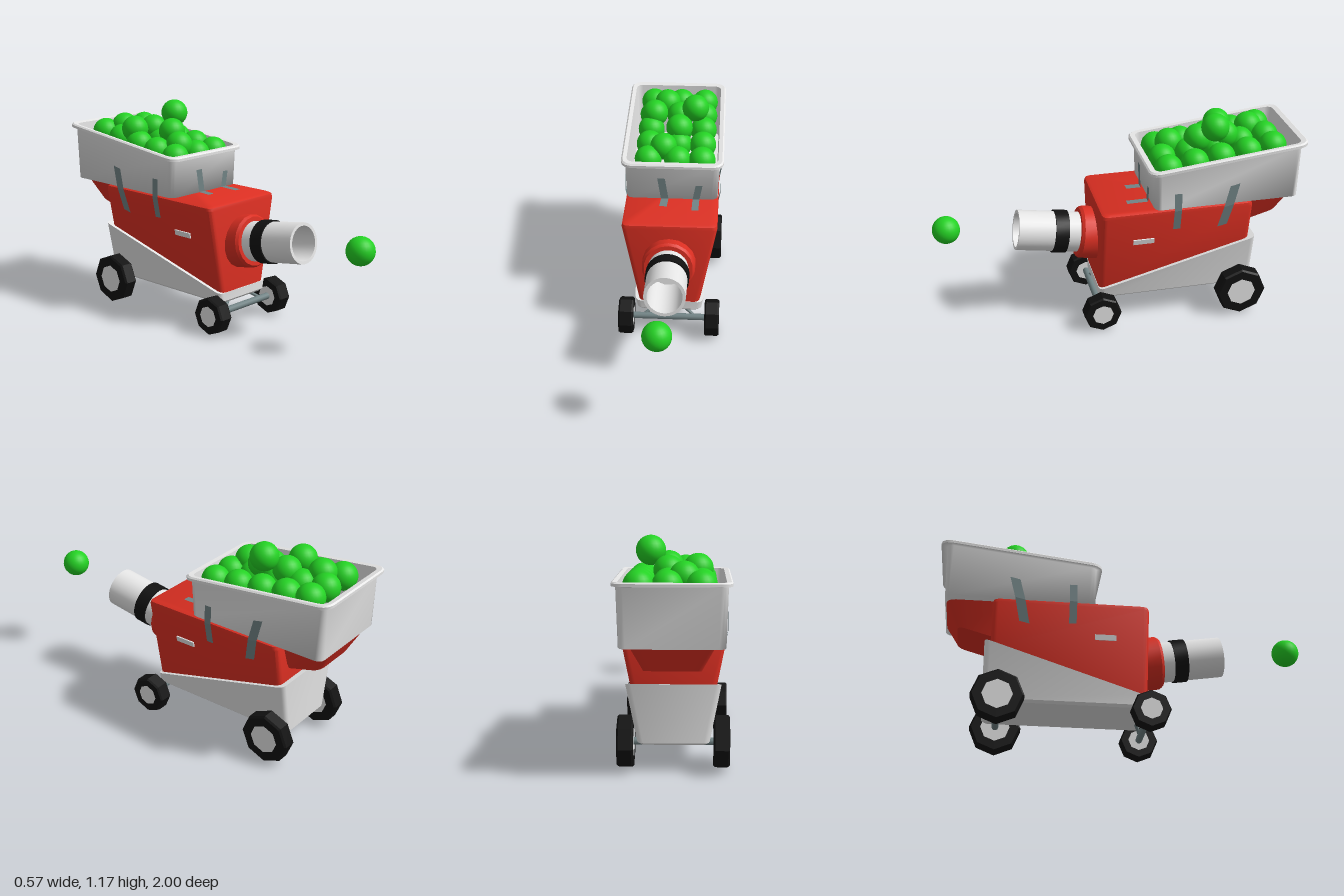
import * as THREE from 'three';
import { toCreasedNormals } from 'three/addons/utils/BufferGeometryUtils.js';

const mat = (name, color, extra = {}) => {
  const m = new THREE.MeshStandardMaterial({ color, ...extra });
  m.name = name;
  return m;
};

// Rounded rectangle seen from above; height depends on z, half width on height
function ring(z0, z1, r, yOf, wOf) {
  const pts = [], zc = (z0 + z1) / 2, hz = (z1 - z0) / 2, seg = 3;
  for (const [q, sx, sz] of [[0, 1, -1], [1, -1, -1], [2, -1, 1], [3, 1, 1]]) {
    for (let i = 0; i <= seg; i++) {
      const a = (q + i / seg) * Math.PI / 2;
      const z = zc + sz * (hz - r) - r * Math.sin(a), y = yOf(z);
      pts.push([sx * (wOf(y) - r) + r * Math.cos(a), y, z]);
    }
  }
  return pts;
}

// Skin through a stack of rings, with optional end caps
function loft(rings, capStart, capEnd, crease = 0.6) {
  const n = rings[0].length, pos = rings.flat(2), idx = [];
  for (let k = 0; k < rings.length - 1; k++) {
    for (let i = 0; i < n; i++) {
      const a = k * n + i, b = k * n + (i + 1) % n;
      idx.push(a, b, b + n, a, b + n, a + n);
    }
  }
  const last = (rings.length - 1) * n;
  for (let i = 1; i < n - 1; i++) {
    if (capStart) idx.push(0, i + 1, i);
    if (capEnd) idx.push(last, last + i, last + i + 1);
  }
  const g = new THREE.BufferGeometry();
  g.setAttribute('position', new THREE.Float32BufferAttribute(pos, 3));
  g.setIndex(idx);
  g.computeVertexNormals();
  return crease ? toCreasedNormals(g, crease) : g;
}

const lathe = (pts, seg) =>
  new THREE.LatheGeometry(pts.map(p => new THREE.Vector2(...p)), seg);

// Flat band following a path, with a fixed width direction
function ribbon(path, [wx, wy, wz]) {
  const pos = [], idx = [];
  path.forEach(([x, y, z], i) => {
    pos.push(x - wx, y - wy, z - wz, x + wx, y + wy, z + wz);
    if (i) idx.push(2 * i - 2, 2 * i - 1, 2 * i + 1, 2 * i - 2, 2 * i + 1, 2 * i);
  });
  const g = new THREE.BufferGeometry();
  g.setAttribute('position', new THREE.Float32BufferAttribute(pos, 3));
  g.setIndex(idx);
  return toCreasedNormals(g, 0.1);
}

function rod(a, b, r) {
  const p = new THREE.Vector3(...a), d = new THREE.Vector3(...b).sub(p);
  const g = new THREE.CylinderGeometry(r, r, d.length(), 10);
  g.applyQuaternion(new THREE.Quaternion().setFromUnitVectors(
    new THREE.Vector3(0, 1, 0), d.clone().normalize()));
  return g.translate(...p.addScaledVector(d, 0.5).toArray());
}

export function createModel() {
  const red = mat('red body paint', 0xdc2f22);
  const white = mat('white plastic', 0xe6e6e6);
  const black = mat('black rubber', 0x111111);
  const blackFlat = mat('black tyre', 0x111111, { flatShading: true });
  const steel = mat('grey steel', 0x728486, { side: THREE.DoubleSide });
  const green = mat('green ball', 0x24d224);

  const model = new THREE.Group();
  const add = (name, geo, m, parent = model) => {
    const mesh = new THREE.Mesh(geo, m);
    mesh.name = name;
    parent.add(mesh);
    return mesh;
  };

  // Body: red upper shell on a wedge shaped white base
  const wBody = y => 0.17 + (y - 0.21) * 0.19;
  const seam = z => 0.21 + (0.125 - z) * 0.3;
  add('upperBody', loft([
    ring(-0.71, 0.125, 0.03, z => seam(z) - 0.005, wBody),
    ring(-0.71, 0.125, 0.03, () => 0.68, wBody),
    ring(-0.705, 0.12, 0.03, () => 0.697, y => wBody(y) - 0.006),
    ring(-0.69, 0.105, 0.03, () => 0.705, y => wBody(y) - 0.022),
  ], true, true), red);
  const wBase = y => 0.178 + (y - 0.15) * 0.19;
  add('lowerBody', loft([
    ring(-0.725, 0.115, 0.025, () => 0.15, y => wBase(y) - 0.012),
    ring(-0.74, 0.127, 0.03, () => 0.163, wBase),
    ring(-0.742, 0.127, 0.03, seam, wBase),
  ], true, true), white);
  add('rearDuct', loft([
    ring(-0.89, -0.6, 0.04, z => 0.53 - (z + 0.71) * 0.28, () => 0.14),
    ring(-0.955, -0.6, 0.05, () => 0.705, () => 0.205),
  ], true, true), red);

  // Hopper: open tray with a sloping rolled rim
  const rim = h => z => 0.908 + h - (z + 0.13) * 0.113;
  const w = v => () => v;
  const flange = ring(-1.0, -0.13, 0.055, rim(0.004), w(0.283));
  add('hopperOutside', loft([
    ring(-0.962, -0.165, 0.035, () => 0.706, w(0.254)),
    ring(-0.967, -0.158, 0.035, rim(0), w(0.262)),
    flange,
  ], true, false, 0), white);
  add('hopperRimAndInside', loft([
    flange,
    ring(-1.0, -0.13, 0.055, rim(0.018), w(0.283)),
    ring(-0.992, -0.138, 0.05, rim(0.025), w(0.275)),
    ring(-0.965, -0.165, 0.035, rim(0.022), w(0.253)),
    ring(-0.955, -0.175, 0.035, () => 0.715, w(0.245)),
  ], false, true, 0.7), white);

  // Balls: sloping lower layer, a loose upper layer and one in flight
  const ballGeo = new THREE.SphereGeometry(0.075, 24, 16);
  const balls = new THREE.Group();
  balls.name = 'balls';
  model.add(balls);
  const ball = (x, y, z, name = 'ball') =>
    add(name, ballGeo, green, balls).position.set(x, y, z);
  for (const z of [-0.83, -0.69, -0.545, -0.4, -0.255])
    for (const x of [-0.138, 0.025, 0.162]) ball(x, 0.905 - (z + 0.255) * 0.135, z);
  [[-0.12, 1.02, -0.6], [0.115, 1.095, -0.52], [0.027, 1.005, -0.45], [-0.055, 0.957, -0.31],
    [-0.055, 1.012, -0.76], [0.025, 1.01, -0.6]].forEach(p => ball(...p));
  ball(-0.015, 0.58, 0.925, 'flyingBall');

  // Nozzle, tilted slightly upwards
  const nozzle = new THREE.Group();
  nozzle.name = 'nozzle';
  nozzle.position.set(0, 0.487, 0.2);
  nozzle.rotation.x = THREE.MathUtils.degToRad(81);
  model.add(nozzle);
  add('collar', toCreasedNormals(lathe(
    [[0.147, -0.12], [0.145, 0], [0.134, 0.015], [0.1, 0.015]], 18), 0.6), red, nozzle);
  add('barrel', toCreasedNormals(lathe(
    [[0.11, -0.05], [0.11, 0.355], [0.093, 0.355], [0.093, 0.02], [0, 0.02]], 28), 0.6), white, nozzle);
  add('barrelBand', toCreasedNormals(lathe(
    [[0.108, 0.08], [0.118, 0.08], [0.118, 0.155], [0.108, 0.155]], 28), 0.6), black, nozzle);

  // Straps holding the hopper, and small side plates
  add('frontStrap', ribbon([[-0.06, 0.84, -0.149], [-0.04, 0.713, -0.149], [-0.045, 0.711, -0.07]],
    [0.021, 0, 0]), steel);
  add('frontStrap', ribbon([[0.15, 0.8, -0.149], [0.134, 0.713, -0.149], [0.132, 0.711, -0.035]],
    [0.019, 0, 0]), steel);
  for (const s of [1, -1]) {
    add('sideStrap', ribbon([[s * 0.266, 0.8, -0.285], [s * 0.27, 0.7, -0.285],
      [s * 0.247, 0.58, -0.285]], [0, 0, 0.02]), steel);
    add('sideStrap', ribbon([[s * 0.267, 0.82, -0.597], [s * 0.27, 0.7, -0.567],
      [s * 0.247, 0.572, -0.54]], [0, -0.006, 0.027]), steel);
    const plate = add('sidePlate', new THREE.BoxGeometry(0.008, 0.03, 0.115), white);
    plate.position.set(s * 0.231, 0.515, -0.108);
    plate.rotation.z = -s * 0.188;
  }

  // Axles and wheels
  for (const [label, z, y, r, hub] of [['front', 0.127, 0.108, 0.104, 0.058],
    ['rear', -0.663, 0.148, 0.139, 0.08]]) {
    add(label + 'Axle', rod([-0.21, y, z], [0.21, y, z], 0.019), steel);
    for (const s of [1, -1]) {
      add(label + 'Strut', rod([s * 0.15, y, z], [s * 0.07, y + 0.055, z - 0.04], 0.009), steel);
      const wheel = new THREE.Group();
      wheel.name = label + 'Wheel';
      wheel.position.set(s * 0.24, y, z);
      wheel.rotation.z = -Math.PI / 2;
      model.add(wheel);
      add('tyre', lathe([[hub, -0.041], [r * 0.93, -0.041], [r, -0.032], [r, 0.032],
        [r * 0.93, 0.041], [hub, 0.041]], 8), blackFlat, wheel);
      add('hub', new THREE.CylinderGeometry(hub + 0.004, hub + 0.004, 0.076, 8), white, wheel);
    }
  }
  return model;
}
